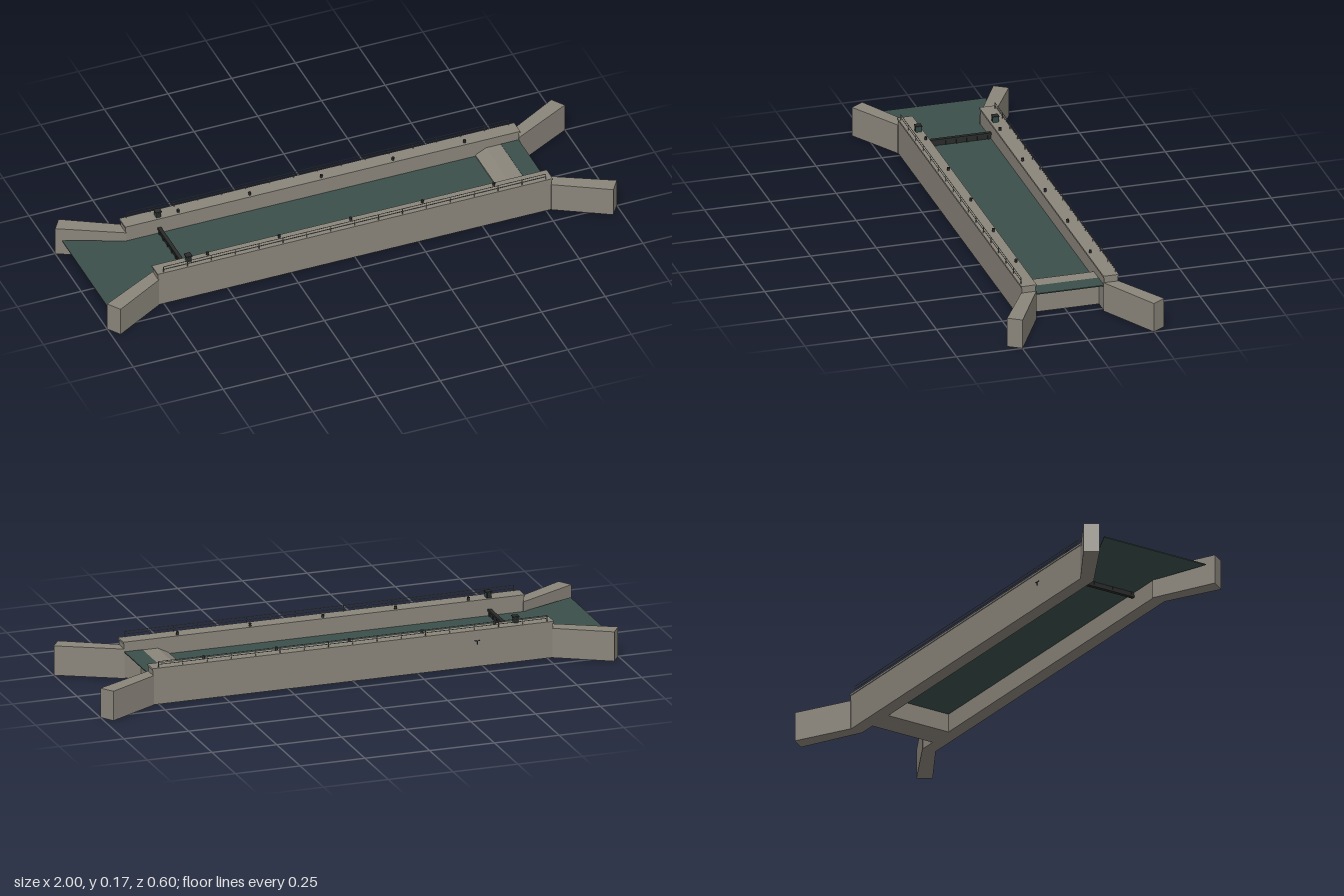
import * as THREE from 'three';

const flat = (name, color) => {
  const m = new THREE.MeshStandardMaterial({ color });
  m.name = name;
  return m;
};

export function createModel() {
  const root = new THREE.Group();
  root.name = 'canalLock';
  const concrete = flat('concrete', 0x8a857b);
  const water = flat('water', 0x3c4f4b);
  const iron = flat('darkIron', 0x292a2a);
  const green = flat('greenPaint', 0x2f4a45);
  const steel = flat('railSteel', 0x777a76);

  const add = (name, geo, mat, x = 0, y = 0, z = 0, parent = root) => {
    const m = new THREE.Mesh(geo, mat);
    m.name = name;
    m.position.set(x, y, z);
    parent.add(m);
    return m;
  };
  // Box given by its lower and upper corner
  const box = (name, mat, x0, x1, y0, y1, z0, z1, parent = root) =>
    add(name, new THREE.BoxGeometry(x1 - x0, y1 - y0, z1 - z0), mat,
      (x0 + x1) / 2, (y0 + y1) / 2, (z0 + z1) / 2, parent);
  // Plan outline of [x, z] points raised from y0 to y1
  const slab = (name, mat, points, y0, y1) => {
    const shape = new THREE.Shape(points.map(([x, z]) => new THREE.Vector2(x, -z)));
    const geo = new THREE.ExtrudeGeometry(shape, { depth: y1 - y0, bevelEnabled: false });
    geo.rotateX(-Math.PI / 2);
    return add(name, geo, mat, 0, y0, 0);
  };

  // Water: lower reach with chamber, and the higher strip behind the sill
  slab('chamberWater', water, [[-0.985, -0.22], [-0.77, -0.13], [0.61, -0.13],
    [0.61, 0.13], [-0.77, 0.13], [-0.985, 0.22]], 0.071, 0.075);
  box('upperWater', water, 0.7, 0.77, 0.098, 0.102, -0.13, 0.13);

  // Sill with a sloping face towards the chamber
  const sill = new THREE.Shape([[0.6, 0], [0.707, 0], [0.707, 0.101], [0.642, 0.101], [0.6, 0.08]]
    .map(([x, y]) => new THREE.Vector2(x, y)));
  add('sill', new THREE.ExtrudeGeometry(sill, { depth: 0.26, bevelEnabled: false }),
    concrete, 0, 0, -0.13);

  // Lower gate with ribs
  const gate = new THREE.Group();
  gate.name = 'lowerGate';
  root.add(gate);
  box('gatePanel', iron, -0.643, -0.637, 0.052, 0.098, -0.13, 0.13, gate);
  for (const y of [0.055, 0.096])
    box('gateBeam', iron, -0.647, -0.633, y - 0.004, y + 0.004, -0.13, 0.13, gate);
  for (let i = 0; i < 7; i++) {
    const z = -0.12 + i * 0.04;
    box('gateRib', iron, -0.646, -0.634, 0.052, 0.098, z - 0.003, z + 0.003, gate);
  }

  for (const s of [1, -1]) {
    const span = (name, mat, x0, x1, y0, y1, a, b, parent) =>
      box(name, mat, x0, x1, y0, y1, Math.min(a * s, b * s), Math.max(a * s, b * s), parent);

    // Side wall with coping
    span('sideWall', concrete, -0.772, 0.772, 0, 0.133, 0.13, 0.182);
    span('coping', concrete, -0.775, 0.775, 0.133, 0.14, 0.127, 0.185);

    // Splayed wing walls
    for (const e of [1, -1])
      slab('wingWall', concrete, [[0.77, 0.127], [1, 0.249], [0.967, 0.298], [0.77, 0.184]]
        .map(([x, z]) => [x * e, z * s]), 0, 0.113);

    // Railing
    const railing = new THREE.Group();
    railing.name = 'railing';
    root.add(railing);
    const post = new THREE.CylinderGeometry(0.0013, 0.0013, 0.023, 6);
    for (let i = 0; i < 17; i++)
      add('railPost', post, steel, -0.75 + i * 0.09375, 0.1515, 0.179 * s, railing);
    const bar = new THREE.CylinderGeometry(0.0012, 0.0012, 1.5, 6).rotateZ(Math.PI / 2);
    for (const y of [0.152, 0.163]) add('handrail', bar, steel, 0, y, 0.179 * s, railing);

    // Bollards
    for (let i = -2; i <= 2; i++) {
      add('bollard', new THREE.CylinderGeometry(0.004, 0.005, 0.008, 12), iron,
        i * 0.281, 0.144, 0.141 * s);
      add('bollardCap', new THREE.CylinderGeometry(0.0055, 0.0055, 0.003, 12), iron,
        i * 0.281, 0.1495, 0.141 * s);
    }

    // Gate control cabinet
    span('cabinet', green, -0.649, -0.631, 0.14, 0.161, 0.136, 0.157);
    span('cabinetRoof', iron, -0.652, -0.628, 0.161, 0.165, 0.134, 0.159);
    for (const z of [0.1345, 0.157])
      span('cabinetPanel', iron, -0.647, -0.633, 0.142, 0.16, z, z + 0.0015);
  }

  // Small gauge bracket on the rear wall
  box('gaugeArm', iron, -0.49, -0.47, 0.098, 0.1, -0.185, -0.182);
  box('gaugePost', iron, -0.481, -0.479, 0.085, 0.1, -0.185, -0.182);
  return root;
}
